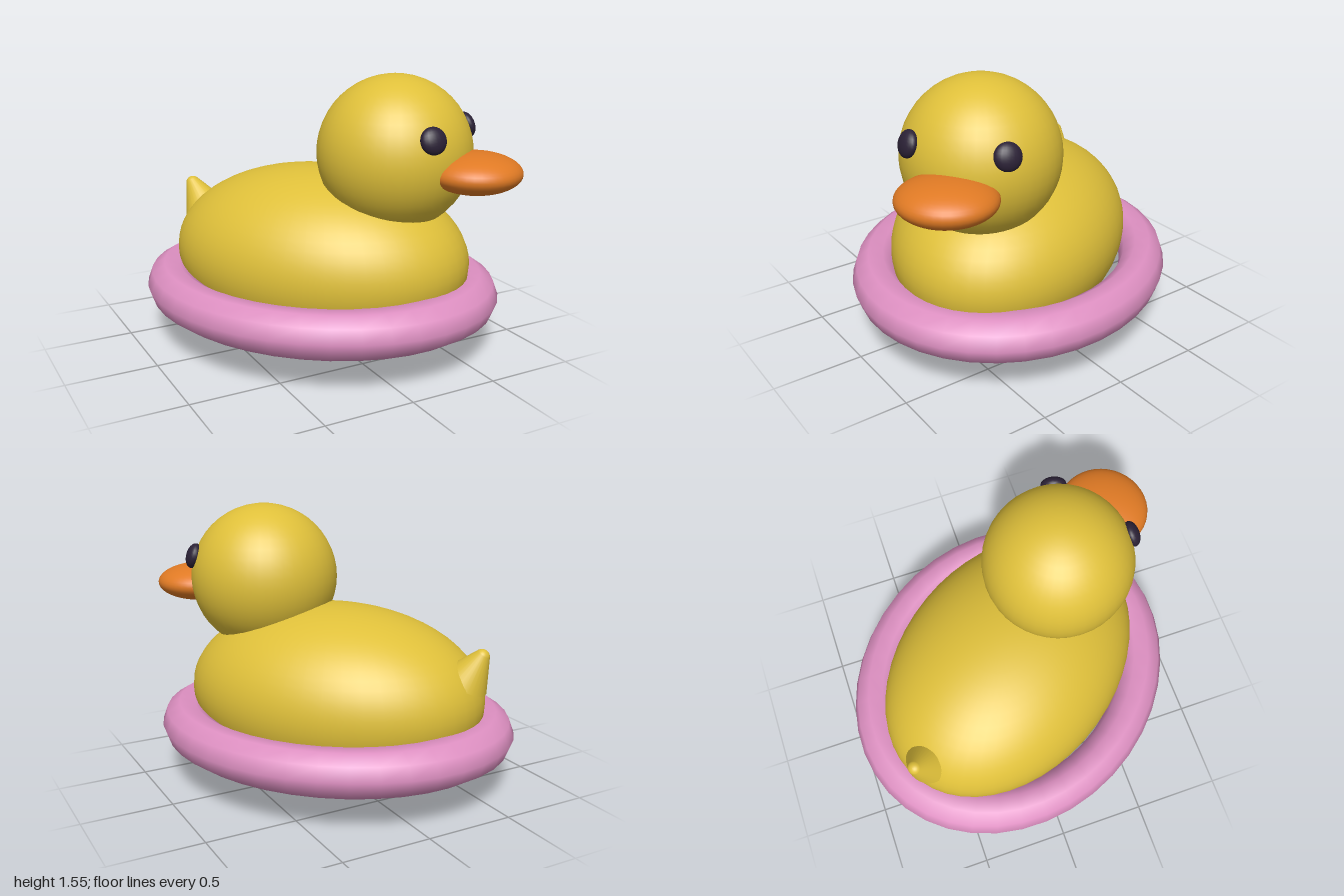
import * as THREE from 'three';

export function createModel() {
  const model = new THREE.Group();
  model.name = 'rubberDuck';

  const material = (name, color) => {
    const m = new THREE.MeshStandardMaterial({ color });
    m.name = name;
    return m;
  };
  const yellow = material('yellow', 0xdfc03a);
  const orange = material('orange', 0xe07a24);
  const pink = material('pink', 0xde90c2);
  const dark = material('dark', 0x2b2136);

  // The duck faces its own +z inside this turned group
  const duck = new THREE.Group();
  duck.name = 'duck';
  duck.rotation.y = THREE.MathUtils.degToRad(35);
  duck.position.z = -0.008;
  model.add(duck);

  const add = (name, geometry, mat, x, y, z) => {
    const mesh = new THREE.Mesh(geometry, mat);
    mesh.name = name;
    mesh.position.set(x, y, z);
    duck.add(mesh);
    return mesh;
  };
  const ellipsoid = (rx, ry, rz, w = 40, h = 24) =>
    new THREE.SphereGeometry(1, w, h).scale(rx, ry, rz);

  // Body, head and beak
  add('body', ellipsoid(0.64, 0.505, 0.88, 48, 32), yellow, 0, 0.505, 0);
  const headCentre = new THREE.Vector3(0, 1.133, 0.457);
  add('head', ellipsoid(0.422, 0.422, 0.422), yellow, ...headCentre.toArray());
  add('beak', ellipsoid(0.257, 0.108, 0.25), orange, 0, 1.068, 0.907);

  // Flattened eyes, each facing straight out of the head
  for (const [name, side] of [['leftEye', 1], ['rightEye', -1]]) {
    const out = new THREE.Vector3(side * 0.258, 0.134, 0.313);
    const p = headCentre.clone().add(out);
    const eye = add(name, ellipsoid(0.072, 0.072, 0.042, 20, 14), dark, ...p.toArray());
    eye.quaternion.setFromUnitVectors(new THREE.Vector3(0, 0, 1), out.normalize());
  }

  // Tail: cone with a rounded tip, leaning back
  const profile = [new THREE.Vector2(0, -0.17), new THREE.Vector2(0.13, -0.17), new THREE.Vector2(0.13, -0.17)];
  for (let i = 0; i <= 6; i++) {
    const a = THREE.MathUtils.lerp(0.5, Math.PI / 2, i / 6);
    profile.push(new THREE.Vector2(i === 6 ? 0 : 0.042 * Math.cos(a), 0.042 * Math.sin(a)));
  }
  const tail = add('tail', new THREE.LatheGeometry(profile, 28), yellow, 0, 0.81, -0.87);
  tail.rotation.x = -Math.PI / 6;

  // Swim ring: oval torus lying flat
  const ring = new THREE.TorusGeometry(0.76, 0.129, 10, 40)
    .rotateX(Math.PI / 2)
    .scale(1, 1, 1.17);
  add('swimRing', ring, pink, 0, 0.317, 0);

  return model;
}
